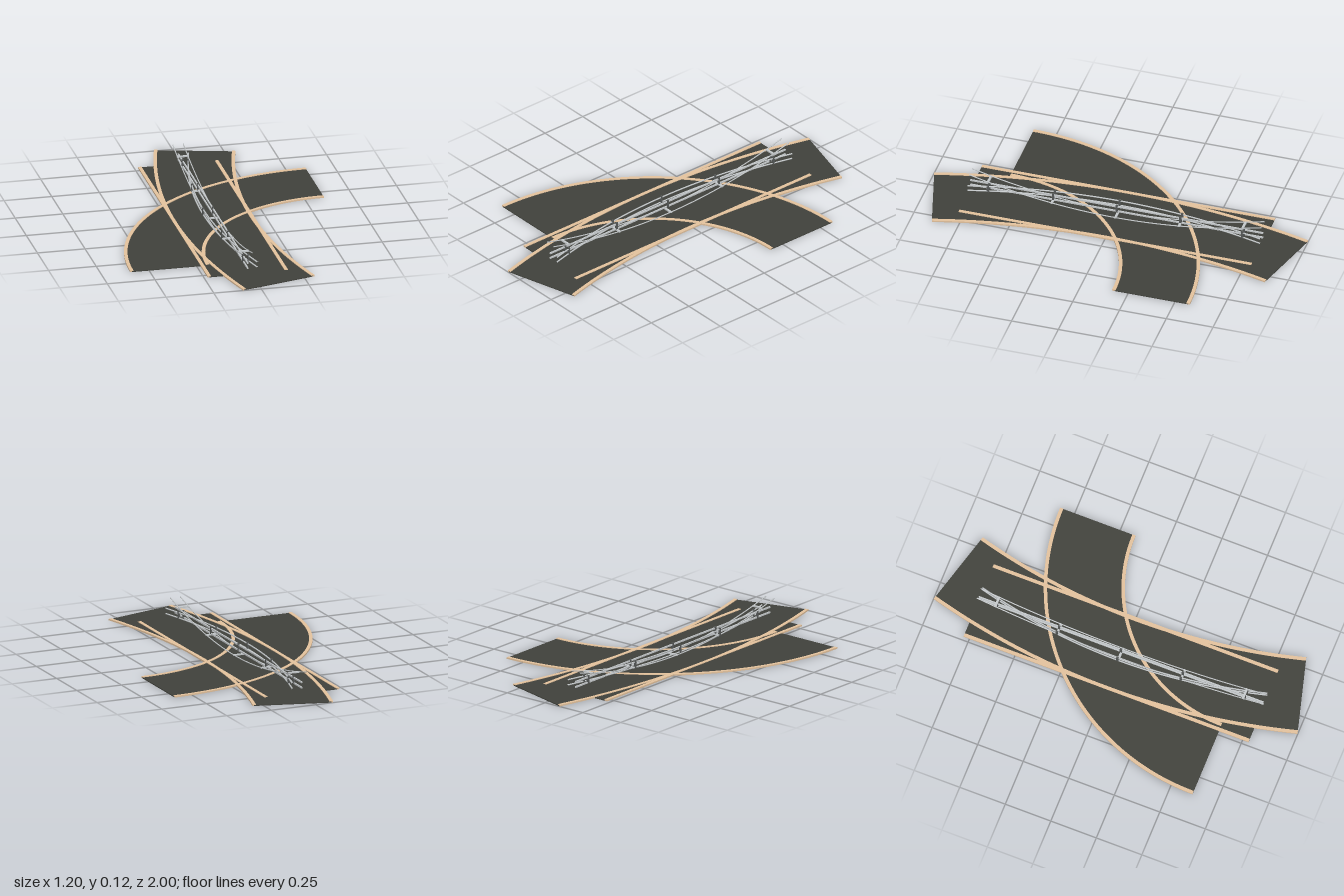
import * as THREE from 'three';

const mat = (name, color) => {
  const m = new THREE.MeshStandardMaterial({ color });
  m.name = name;
  return m;
};

export function createModel() {
  const asphalt = mat('asphalt', 0x40413b);
  const kerbTan = mat('kerb tan', 0xe2c19c);
  const postGrey = mat('post grey', 0x565958);
  const railGrey = mat('rail grey', 0xc4c8ca);
  const model = new THREE.Group();

  const group = (name) => {
    const g = new THREE.Group();
    g.name = name;
    model.add(g);
    return g;
  };
  const add = (parent, name, geometry, material) => {
    const m = new THREE.Mesh(geometry, material);
    m.name = name;
    parent.add(m);
    return m;
  };
  const box = (parent, name, material, w, h, d, x, y, z) =>
    add(parent, name, new THREE.BoxGeometry(w, h, d), material).position.set(x, y, z);

  // Flat ring sector lying on the ground, from height 0 to h
  const band = (cx, cz, r0, r1, a0, a1, h) => {
    const s = new THREE.Shape();
    s.absarc(cx, -cz, r1, a0, a1, false);
    s.absarc(cx, -cz, r0, a1, a0, true);
    const g = new THREE.ExtrudeGeometry(s, { depth: h, bevelEnabled: false, curveSegments: 32 });
    return g.rotateX(-Math.PI / 2);
  };

  const KERB = 0.018, INSET = 0.009, SLAB = 0.005, TOP = 0.008;

  // Curved road: slab with a kerb along both edges
  const curvedRoad = (name, cx, cz, r0, r1, a0, a1) => {
    const g = group(name);
    add(g, 'roadSlab', band(cx, cz, r0 + INSET, r1 - INSET, a0, a1, SLAB), asphalt);
    add(g, 'innerKerb', band(cx, cz, r0, r0 + KERB, a0, a1, TOP).translate(0, 0.0003, 0), kerbTan);
    add(g, 'outerKerb', band(cx, cz, r1 - KERB, r1, a0, a1, TOP).translate(0, 0.0003, 0), kerbTan);
  };
  const sweep = 0.268;
  curvedRoad('gentleCurveRoad', 3.54, 0, 3.355, 3.772, Math.PI - sweep, Math.PI + sweep);
  curvedRoad('quarterTurnRoad', 0.6, 0.62, 0.785, 1.2, Math.PI / 2, Math.PI);

  // Straight road
  const straight = group('straightRoad');
  box(straight, 'roadSlab', asphalt, 0.402, SLAB, 1.564, -0.021, SLAB / 2, 0);
  for (const x of [-0.2225, 0.1805])
    box(straight, 'kerb', kerbTan, KERB, TOP, 1.564, x, TOP / 2 + 0.0003, 0);

  // Rails that bow along their length by a parabola
  const END = 0.782, BOW = 0.104;
  const bow = (z) => BOW * (z / END) ** 2;
  const rail = (parent, radius, at) => {
    const pts = [];
    for (let i = 0; i <= 16; i++) pts.push(at(END * (i / 8 - 1)));
    add(parent, 'rail', new THREE.TubeGeometry(new THREE.CatmullRomCurve3(pts), 32, radius, 6), railGrey);
  };
  const stations = [-0.68, -0.34, 0, 0.34, 0.68];
  const heights = [0.032, 0.06];

  // Straight and sideways-bowed guard rails, with uprights between the rails
  const straightRail = group('straightGuardRail');
  const bowedRail = group('bowedGuardRail');
  for (const y of heights) {
    box(straightRail, 'rail', railGrey, 0.007, 0.008, END * 2, -0.021, y, 0);
    rail(bowedRail, 0.004, (z) => new THREE.Vector3(-0.072 + bow(z), y, z));
  }
  for (const z of stations) {
    box(straightRail, 'upright', postGrey, 0.008, 0.042, 0.012, -0.021, 0.048, z);
    box(bowedRail, 'upright', postGrey, 0.008, 0.042, 0.012, -0.072 + bow(z), 0.048, z);
  }

  // Upward-bowed rail pair with cross ties
  const dipped = group('dippedRail');
  for (const x of [-0.049, 0.006])
    rail(dipped, 0.003, (z) => new THREE.Vector3(x, 0.009 + bow(z), z));
  for (const z of stations)
    box(dipped, 'crossTie', railGrey, 0.06, 0.007, 0.012, -0.0215, 0.008 + bow(z), z);

  return model;
}
